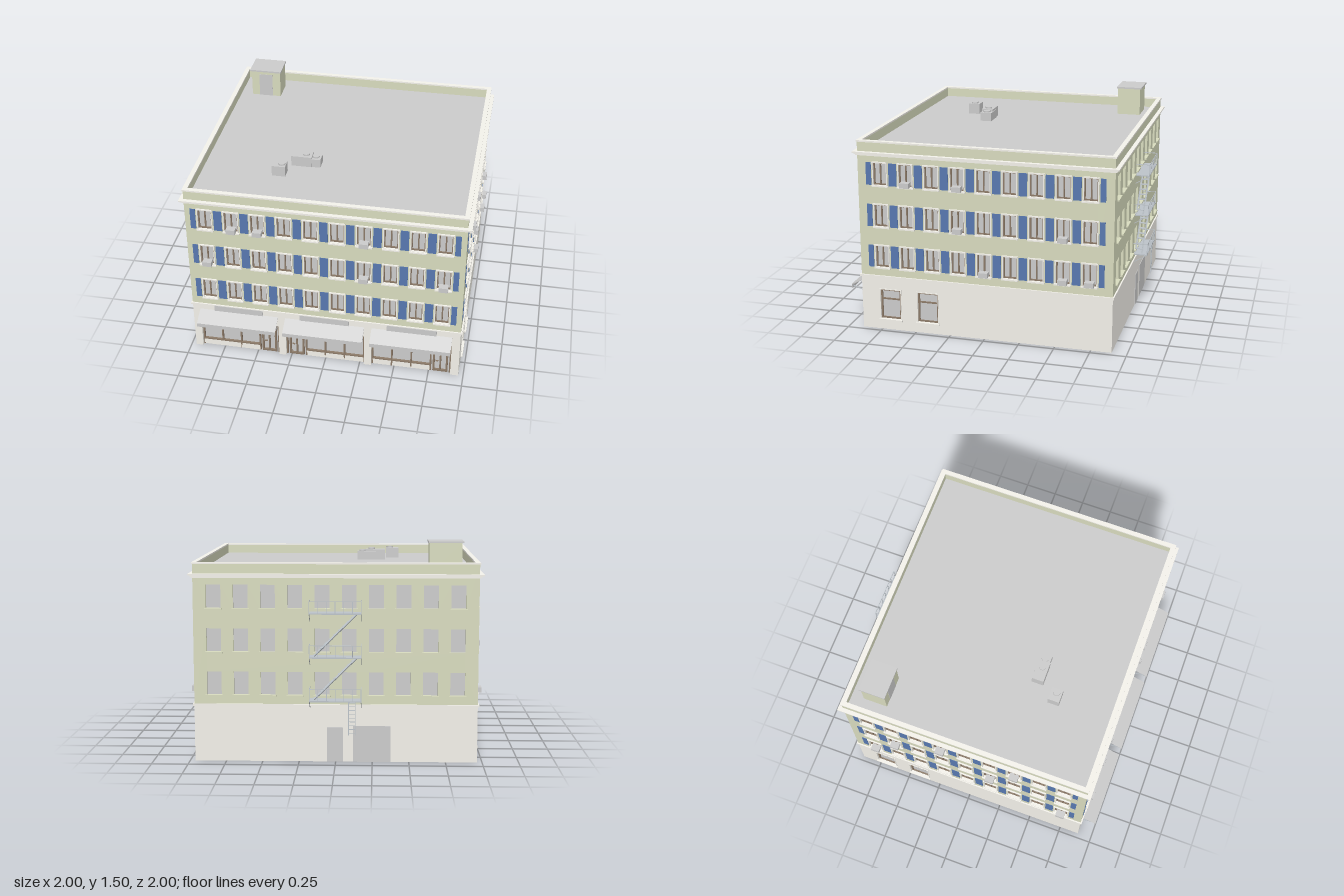
import * as THREE from 'three';

const mat = (color) => new THREE.MeshStandardMaterial({ color, side: THREE.DoubleSide });
const grey = mat(0xcccccc), olive = mat(0xd8dbbe), stone = mat(0xf3f1ea), blue = mat(0x5878b0);
const brown = mat(0x8c7a68), iron = mat(0xbcc3c9);

const HX = 0.965, HZ = 0.895, PARAPET = 0.025; // half width, half depth, parapet thickness
const FLOOR = 0.297, PITCH = 0.1837;           // storey height, window spacing
const ROW0 = 0.5415, WIN_W = 0.1, WIN_H = 0.16, RECESS = 0.028, ROOF = 1.29;

function add(parent, name, geo, material, x = 0, y = 0, z = 0) {
  const m = new THREE.Mesh(geo, material);
  m.name = name;
  m.position.set(x, y, z);
  parent.add(m);
  return m;
}

const box = (parent, name, material, w, h, d, x, y, z) =>
  add(parent, name, new THREE.BoxGeometry(w, h, d), material, x, y, z);

// Box given by its low and high corners
const span = (parent, name, material, x0, x1, y0, y1, z0, z1) =>
  box(parent, name, material, x1 - x0, y1 - y0, z1 - z0, (x0 + x1) / 2, (y0 + y1) / 2, (z0 + z1) / 2);

function rectPath(PathType, x0, x1, y0, y1) {
  return new PathType([[x0, y0], [x1, y0], [x1, y1], [x0, y1]].map((p) => new THREE.Vector2(...p)));
}

// Rectangle with rectangular holes [cx, cy, w, h]
function pierced(x0, x1, y0, y1, holes) {
  const s = rectPath(THREE.Shape, x0, x1, y0, y1);
  for (const [cx, cy, w, h] of holes) s.holes.push(rectPath(THREE.Path, cx - w / 2, cx + w / 2, cy - h / 2, cy + h / 2));
  return s;
}

const extrude = (shape, depth) => new THREE.ExtrudeGeometry(shape, { depth, bevelEnabled: false });
const frameGeo = (w, h, t, d) => extrude(pierced(-w / 2, w / 2, -h / 2, h / 2, [[0, 0, w - 2 * t, h - 2 * t]]), d);

// Horizontal band round the building
function band(parent, name, material, out, inset, y0, y1) {
  const w = HX + out, d = HZ + out;
  const g = extrude(pierced(-w, w, -d, d, [[0, 0, 2 * (HX - inset), 2 * (HZ - inset)]]), y1 - y0);
  add(parent, name, g.rotateX(-Math.PI / 2), material, 0, y0, 0);
}

// Thin square bar between two points
function bar(parent, name, material, a, b, t = 0.004) {
  const A = new THREE.Vector3(...a), B = new THREE.Vector3(...b);
  const m = add(parent, name, new THREE.BoxGeometry(t, t, A.distanceTo(B)), material);
  m.position.copy(A).add(B).multiplyScalar(0.5);
  m.quaternion.setFromUnitVectors(new THREE.Vector3(0, 0, 1), B.sub(A).normalize());
}

// Shared window pieces
const revealGeo = frameGeo(WIN_W + 0.004, WIN_H + 0.004, 0.002, RECESS);
const trimGeo = frameGeo(0.108, 0.168, 0.007, 0.012);
const sashGeo = frameGeo(WIN_W, WIN_H, 0.01, 0.01);
const paneGeo = new THREE.BoxGeometry(WIN_W, WIN_H, 0.004);
const mullionGeo = new THREE.BoxGeometry(0.009, WIN_H, 0.01);
const sillGeo = new THREE.BoxGeometry(0.118, 0.01, 0.03);
const headGeo = new THREE.BoxGeometry(0.114, 0.008, 0.02);
const shutterGeo = new THREE.BoxGeometry(0.038, 0.16, 0.004);
const coolerGeo = new THREE.BoxGeometry(0.064, 0.036, 0.05);

function upperWindow(side, x, y, plain, cooler) {
  const g = new THREE.Group();
  g.name = 'window';
  g.position.set(x, y, 0);
  side.add(g);
  add(g, 'windowPane', paneGeo, grey, 0, 0, -RECESS + 0.002);
  add(g, 'windowReveal', revealGeo, olive, 0, 0, -RECESS);
  add(g, 'windowSill', sillGeo, plain ? olive : stone, 0, -0.084, 0);
  if (plain) return;
  add(g, 'windowTrim', trimGeo, stone, 0, 0, -0.005);
  add(g, 'windowHead', headGeo, stone, 0, 0.083, 0);
  add(g, 'windowSash', sashGeo, brown, 0, 0, -0.022);
  add(g, 'windowMullion', mullionGeo, brown, 0, 0, -0.017);
  for (const s of [-1, 1]) add(g, 'shutter', shutterGeo, blue, s * 0.082, 0, 0.001);
  if (cooler) add(g, 'windowCooler', coolerGeo, grey, 0, -0.062, 0.01);
}

function groundWindow(side, x) {
  const y = 0.1875, w = 0.15, h = 0.22;
  add(side, 'groundWindowReveal', frameGeo(w + 0.004, h + 0.004, 0.002, RECESS), stone, x, y, -RECESS);
  add(side, 'groundWindowTrim', frameGeo(w + 0.012, h + 0.012, 0.007, 0.008), stone, x, y, -0.004);
  add(side, 'groundWindowSash', frameGeo(w, h, 0.012, 0.01), brown, x, y, -0.022);
  box(side, 'meetingRail', brown, w, 0.01, 0.01, x, 0.225, -0.017);
  box(side, 'groundWindowPane', grey, w, h, 0.004, x, y, -RECESS + 0.002);
  box(side, 'groundWindowSill', stone, w + 0.022, 0.012, 0.03, x, 0.073, 0);
}

// One facade in its own frame: x along the wall, z outwards; coolers lists 'row,column'
function facade(root, name, half, dist, angle, columns, opts) {
  const side = new THREE.Group();
  side.name = name;
  side.rotation.y = angle;
  side.position.set(Math.sin(angle) * dist, 0, Math.cos(angle) * dist);
  root.add(side);
  const holes = [];
  for (let r = 0; r < 3; r++) for (let c = 0; c < columns; c++) {
    const x = (c - (columns - 1) / 2) * PITCH, y = ROW0 + r * FLOOR;
    holes.push([x, y, WIN_W, WIN_H]);
    upperWindow(side, x, y, opts.plain, (opts.coolers || []).includes(`${r},${c}`));
  }
  add(side, 'upperWall', new THREE.ShapeGeometry(pierced(-half, half, 0.39, 1.358, holes)), olive);
  if (!opts.shops) {
    const low = (opts.ground || []).map((x) => [x, 0.1875, 0.15, 0.22]);
    add(side, 'baseWall', new THREE.ShapeGeometry(pierced(-half, half, 0, 0.39, low)), stone);
    (opts.ground || []).forEach((x) => groundWindow(side, x));
  }
  return side;
}

// Glazed shop bay with a double door in one of its four panels, awning and sign board
function shopBay(side, x0, x1, doorPanel) {
  const g = new THREE.Group();
  g.name = 'shopBay';
  side.add(g);
  const w = x1 - x0, cx = (x0 + x1) / 2, step = (w - 0.012) / 4, z = -0.03;
  span(g, 'shopGlass', grey, x0, x1, 0, 0.27, -0.042, -0.038);
  for (let i = 0; i <= 4; i++) box(g, 'shopMullion', brown, 0.011, 0.27, 0.016, x0 + 0.006 + i * step, 0.135, z);
  span(g, 'shopHead', brown, x0, x1, 0.246, 0.262, -0.038, -0.022);
  for (let i = 0; i < 4; i++) {
    const px = x0 + 0.006 + (i + 0.5) * step;
    if (i === doorPanel) {
      add(g, 'shopDoorFrame', frameGeo(0.108, 0.245, 0.014, 0.014), brown, px, 0.1235, -0.036);
      box(g, 'shopDoorStile', brown, 0.012, 0.23, 0.012, px, 0.12, z);
      box(g, 'shopDoorHandle', brown, 0.02, 0.005, 0.01, px - 0.025, 0.092, -0.028);
    } else {
      box(g, 'shopBulkhead', stone, step, 0.045, 0.016, px, 0.0225, z);
      box(g, 'shopSill', brown, step, 0.01, 0.018, px, 0.05, z);
    }
  }
  const profile = [[0, 0.345], [0.105, 0.292], [0.105, 0.262], [0.101, 0.262], [0.101, 0.288], [0, 0.339]];
  const awning = extrude(new THREE.Shape(profile.map((p) => new THREE.Vector2(...p))), w);
  add(g, 'awning', awning.rotateY(-Math.PI / 2), grey, x1, 0, 0);
  for (const x of [x0 + 0.01, x1 - 0.01]) bar(g, 'awningArm', iron, [x, 0.245, 0], [x, 0.28, 0.1]);
  box(g, 'signBoard', grey, 0.352, 0.045, 0.012, cx, 0.372, 0.007);
}

function fireEscape(side) {
  const g = new THREE.Group();
  g.name = 'fireEscape';
  side.add(g);
  const levels = [0.437, 0.734, 1.031], X = 0.174, Z = 0.1;
  levels.forEach((y, i) => {
    span(g, 'landing', iron, -X, X, y - 0.004, y + 0.004, 0, Z);
    bar(g, 'rail', iron, [-X, y + 0.083, Z], [X, y + 0.083, Z]);
    for (let k = 0; k <= 6; k++) bar(g, 'railPost', iron, [-X + k * X / 3, y, Z], [-X + k * X / 3, y + 0.083, Z]);
    for (const s of [-X, X]) {
      bar(g, 'rail', iron, [s, y + 0.083, 0], [s, y + 0.083, Z]);
      bar(g, 'bracket', iron, [s, y - 0.06, 0], [s, y, Z]);
    }
    if (!i) return;
    // stair down to the landing below
    const yl = levels[i - 1], at = (t) => [-0.15 + 0.3 * t, yl + (y - yl) * t];
    for (const z of [0.01, 0.06]) bar(g, 'stairStringer', iron, [...at(0), z], [...at(1), z], 0.008);
    for (let k = 1; k < 10; k++) {
      const [x, sy] = at(k / 10);
      box(g, 'stairTread', iron, 0.024, 0.004, 0.05, x, sy, 0.035);
    }
  });
  // drop ladder
  for (const x of [0.09, 0.135]) bar(g, 'ladderSide', iron, [x, 0.205, 0.09], [x, 0.437, 0.09]);
  for (let y = 0.22; y < 0.43; y += 0.026) bar(g, 'ladderRung', iron, [0.09, y, 0.09], [0.135, y, 0.09]);
}

function roofUnit(root, x0, x1, z0, z1, top, fx, fz) {
  span(root, 'roofUnit', grey, x0, x1, ROOF, top, z0, z1);
  add(root, 'roofFan', new THREE.CylinderGeometry(0.025, 0.025, 0.012, 20), grey, fx, top + 0.005, fz);
}

export function createModel() {
  const root = new THREE.Group();
  root.name = 'building';

  // Facades
  const front = facade(root, 'frontFacade', HX, HZ, 0, 10, { shops: true, coolers: ['2,1', '2,2', '2,6', '1,0', '1,6', '1,9'] });
  const ground = [-0.685, -0.41];
  facade(root, 'leftFacade', HZ, HX, Math.PI / 2, 9, { ground, coolers: ['2,1', '2,3', '1,3', '1,7', '0,4', '0,7', '0,8'] });
  facade(root, 'rightFacade', HZ, HX, -Math.PI / 2, 9, { ground, coolers: ['2,6', '2,3', '1,1', '1,5', '0,0', '0,8'] });
  const back = facade(root, 'backFacade', HX, HZ, Math.PI, 10, { plain: true });

  // Shop fronts between piers
  const bays = [[-0.912, -0.34, 3], [-0.288, 0.283, 0], [0.336, 0.907, 3]];
  span(front, 'shopLintel', stone, -HX, HX, 0.262, 0.39, -0.042, 0);
  const edges = [-HX, ...bays.flatMap((b) => [b[0], b[1]]), HX];
  for (let i = 0; i < edges.length; i += 2) span(front, 'pier', stone, edges[i], edges[i + 1], 0, 0.262, -0.042, 0);
  bays.forEach((b) => shopBay(front, ...b));

  // Back doors and fire escape
  span(back, 'backDoor', grey, -0.06, 0.05, 0, 0.24, -0.002, 0.004);
  span(back, 'serviceDoor', grey, 0.12, 0.375, 0, 0.25, -0.002, 0.004);
  fireEscape(back);

  // Belt course, stepped cornice, parapet and its cap
  band(root, 'beltCourse', stone, 0.01, 0.002, 0.385, 0.4);
  [[0.01, 1.262, 1.27], [0.018, 1.27, 1.28], [0.029, 1.28, 1.29]].forEach(([out, y0, y1]) =>
    band(root, 'cornice', stone, out, 0.002, y0, y1));
  band(root, 'parapet', olive, -0.002, PARAPET, ROOF, 1.357);
  band(root, 'parapetCap', stone, 0.006, PARAPET + 0.002, 1.355, 1.366);

  // Roof, stair hut and roof units
  box(root, 'roof', grey, 2 * HX - 0.004, 0.01, 2 * HZ - 0.004, 0, ROOF - 0.005, 0);
  span(root, 'stairHut', olive, -0.853, -0.632, ROOF, 1.492, -0.782, -0.61);
  span(root, 'stairHutRoof', grey, -0.864, -0.625, 1.49, 1.502, -0.792, -0.602);
  span(root, 'stairHutDoor', grey, -0.795, -0.693, ROOF, 1.467, -0.62, -0.608);
  roofUnit(root, -0.336, -0.19, 0.267, 0.352, 1.367, -0.235, 0.31);
  roofUnit(root, -0.27, -0.128, 0.261, 0.347, 1.352, -0.165, 0.305);
  roofUnit(root, -0.442, -0.347, 0.42, 0.503, 1.367, -0.377, 0.464);
  return root;
}
